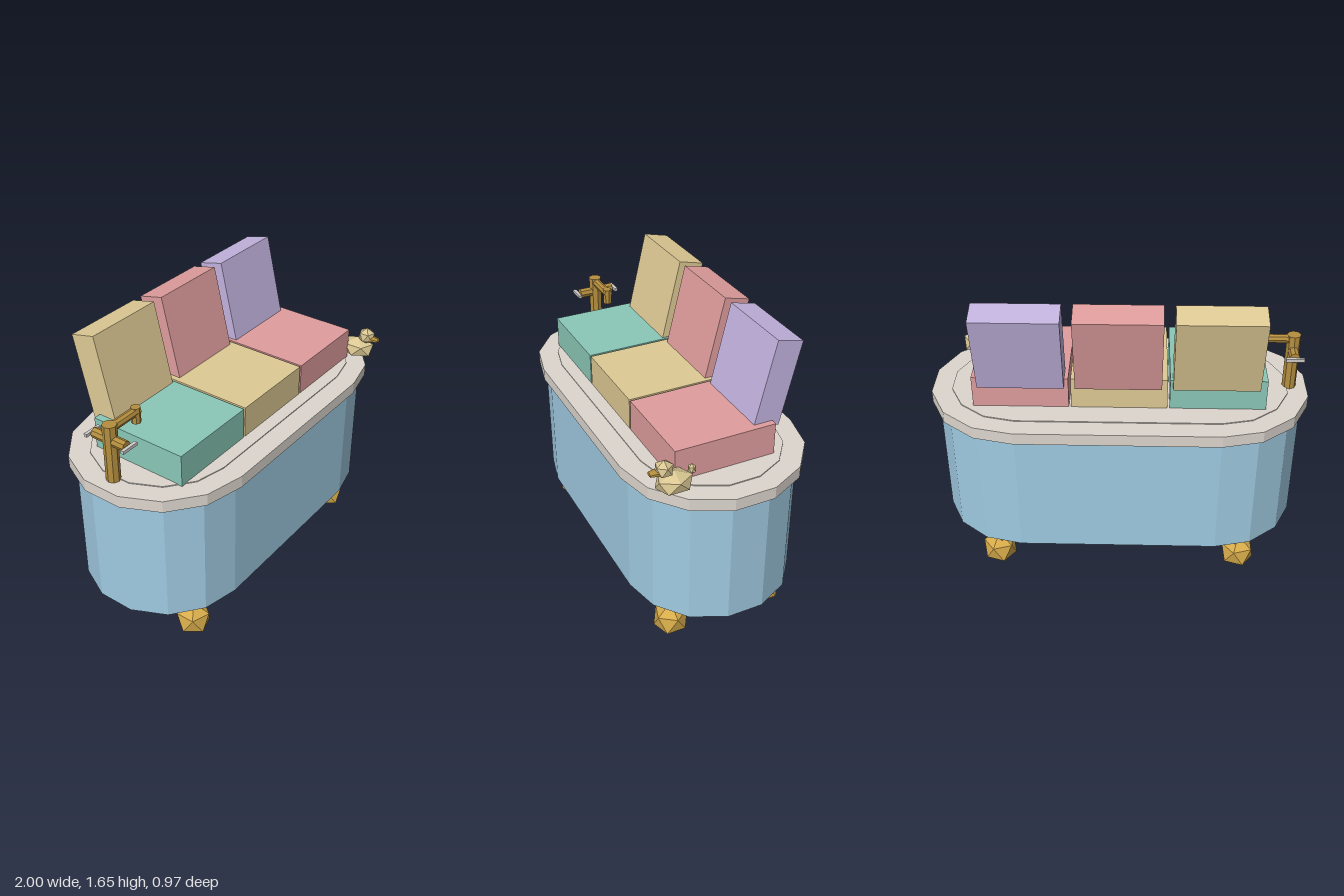
import * as THREE from 'three';

const mat = (name, color) => {
  const m = new THREE.MeshStandardMaterial({ color, flatShading: true });
  m.name = name;
  return m;
};

export function createModel() {
  const blue = mat('tub blue', 0xa0cbe2), stone = mat('rim stone', 0xddd6ce);
  const gold = mat('foot gold', 0xd6ab4a), brass = mat('tap brass', 0xb58f3f);
  const silver = mat('handle silver', 0xcfcccb);
  const teal = mat('teal', 0x8ac8b7), sand = mat('sand', 0xdfca95);
  const pink = mat('pink', 0xe09d9d), lilac = mat('lilac', 0xc3b3df);
  const cream = mat('duck cream', 0xdac792);

  const root = new THREE.Group();
  root.name = 'bathtubSofa';
  const add = (parent, name, geo, material, x = 0, y = 0, z = 0) => {
    const m = new THREE.Mesh(geo, material);
    m.name = name;
    m.position.set(x, y, z);
    parent.add(m);
    return m;
  };
  const group = (name, x = 0, y = 0, z = 0) => {
    const g = new THREE.Group();
    g.name = name;
    g.position.set(x, y, z);
    root.add(g);
    return g;
  };

  // Upright prism with a straight middle and seven-sided round ends
  const slab = (r, h) => {
    const pts = [];
    for (const side of [0, 1]) for (let i = 0; i <= 7; i++) {
      const a = -Math.PI / 2 + side * Math.PI + i * Math.PI / 7;
      pts.push(new THREE.Vector2((side ? -0.53 : 0.53) + r * Math.cos(a), r * Math.sin(a)));
    }
    return new THREE.ExtrudeGeometry(new THREE.Shape(pts), { depth: h, bevelEnabled: false }).rotateX(-Math.PI / 2);
  };
  // Twenty-sided ball standing on a corner
  const ball = (rx, ry, rz) => new THREE.IcosahedronGeometry(1, 0)
    .rotateX(-Math.atan((1 + Math.sqrt(5)) / 2)).rotateY(Math.PI / 2).scale(rx, ry, rz);
  const rod = (r, h, n = 8) => new THREE.CylinderGeometry(r, r, h, n);

  // Tub
  add(root, 'tubBody', slab(0.447, 0.71), blue, 0, 0.27, 0);
  add(root, 'tubRim', slab(0.484, 0.065), stone, 0, 0.975, 0);
  add(root, 'tubDeck', slab(0.375, 0.02), stone, 0, 1.025, 0);

  // Feet
  for (const sx of [-1, 1]) for (const sz of [-1, 1]) {
    const foot = group('foot', 0, 0, 0);
    add(foot, 'leg', rod(0.051, 0.2), gold, sx * 0.66, 0.18, sz * 0.267);
    add(foot, 'footBall', ball(0.1, 0.1, 0.1), gold, sx * 0.677, 0.1, sz * 0.28);
  }

  // Three seat cushions and leaning back cushions
  [[teal, sand], [sand, pink], [pink, lilac]].forEach(([seat, back], i) => {
    const x = (i - 1) * 0.512;
    add(root, 'seatCushion', new THREE.BoxGeometry(0.5, 0.18, 0.545), seat, x - 0.003, 1.126, 0.031);
    const b = add(root, 'backCushion', new THREE.BoxGeometry(0.445, 0.45, 0.143), back, (i - 1) * 0.502, 1.416, -0.262);
    b.rotation.x = -0.235;
  });

  // Tap with spout and cross handles
  const tap = group('tap', -0.91, 0, 0);
  add(tap, 'tapPost', rod(0.037, 0.32), brass, 0, 1.195, 0);
  add(tap, 'spoutArm', rod(0.024, 0.2).rotateZ(Math.PI / 2), brass, 0.1, 1.331, 0);
  add(tap, 'spoutEnd', rod(0.025, 0.085), brass, 0.183, 1.312, 0);
  add(tap, 'handleBar', rod(0.028, 0.2).rotateX(Math.PI / 2), brass, 0, 1.27, 0);
  for (const s of [-1, 1])
    add(tap, 'handleGrip', new THREE.BoxGeometry(0.096, 0.017, 0.018), silver, 0, 1.27, s * 0.115);

  // Bath duck, facing forward
  const duck = group('duck', 0.815, 0, 0);
  add(duck, 'duckBody', ball(0.082, 0.062, 0.102), cream, 0, 1.096, 0.337);
  add(duck, 'duckHead', ball(0.048, 0.048, 0.05), cream, 0, 1.181, 0.388);
  add(duck, 'duckTail', ball(0.022, 0.03, 0.022), cream, 0, 1.138, 0.243);
  const beak = new THREE.CylinderGeometry(0.02, 0.03, 0.05, 6).rotateX(Math.PI / 2).scale(1, 0.5, 1);
  add(duck, 'duckBeak', beak, brass, 0, 1.171, 0.438);

  return root;
}
